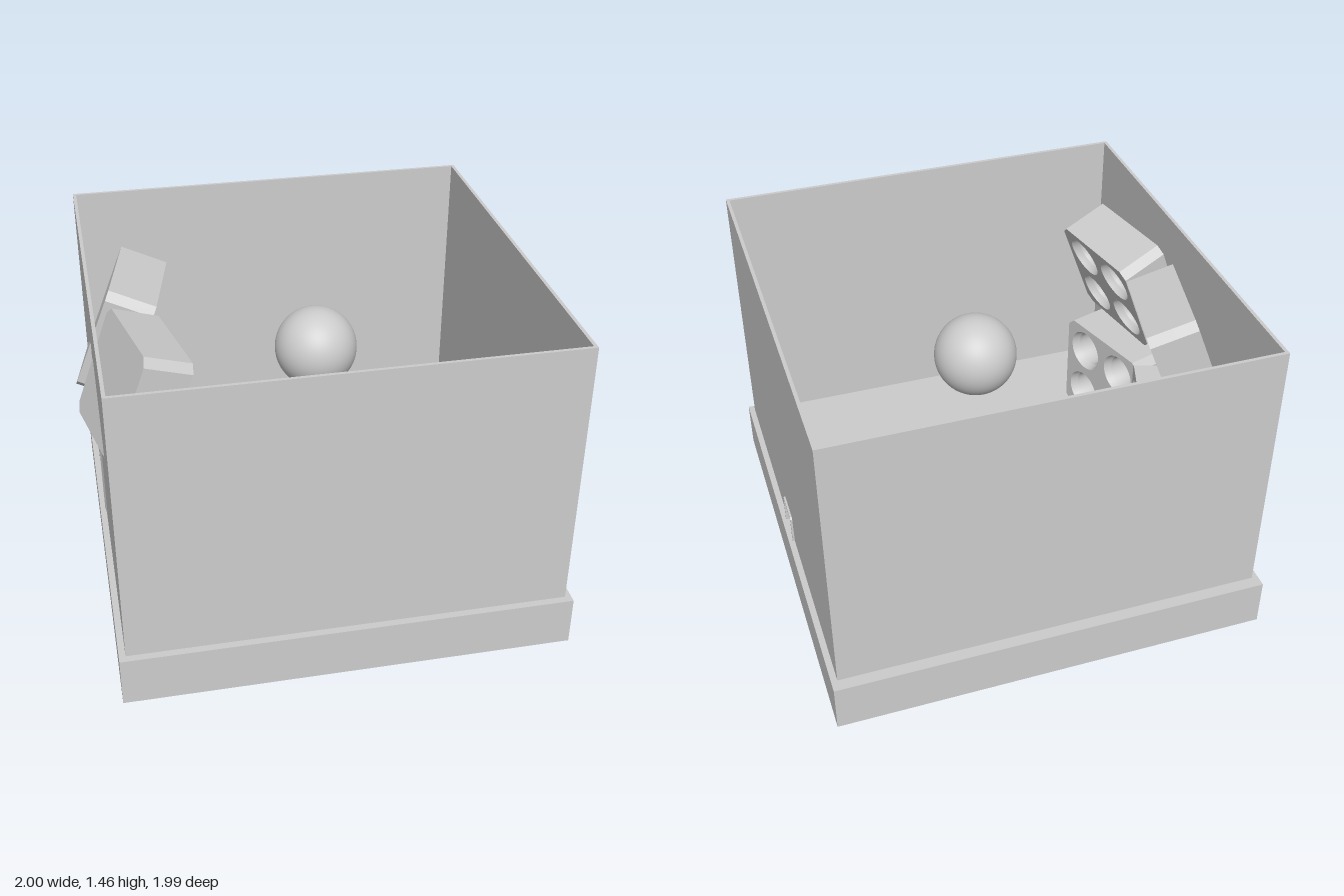
import * as THREE from 'three';

const grey = new THREE.MeshStandardMaterial({ color: 0xcccccc });
grey.name = 'light grey';
const greyOpen = new THREE.MeshStandardMaterial({ color: 0xcccccc, side: THREE.DoubleSide });
greyOpen.name = 'light grey';

const MID_Z = 0.015; // mirror plane of the panel pairs

function add(parent, name, geometry, material = grey) {
  const mesh = new THREE.Mesh(geometry, material);
  mesh.name = name;
  parent.add(mesh);
  return mesh;
}

// Box given by its minimum and maximum corners
function block(parent, name, [x0, y0, z0], [x1, y1, z1]) {
  const mesh = add(parent, name, new THREE.BoxGeometry(x1 - x0, y1 - y0, z1 - z0));
  mesh.position.set((x0 + x1) / 2, (y0 + y1) / 2, (z0 + z1) / 2);
}

// Panel outline: rectangle with cut corners
function panelShape(w, h, c) {
  const a = w / 2, b = h / 2;
  return new THREE.Shape([
    [-a + c, -b], [a - c, -b], [a, -b + c], [a, b - c],
    [a - c, b], [-a + c, b], [-a, b - c], [-a, -b + c],
  ].map(([x, y]) => new THREE.Vector2(x, y)));
}

// Thick panel with a two by two grid of round cups; local z = 0 is its back
function makePanel(name) {
  const panel = new THREE.Group();
  panel.name = name;
  const spots = [];
  for (const x of [-0.123, 0.123]) for (const y of [-0.121, 0.121]) spots.push([x, y]);

  add(panel, 'panelBack', new THREE.ExtrudeGeometry(panelShape(0.51, 0.5, 0.035),
    { depth: 0.1, bevelEnabled: false }));

  const face = panelShape(0.51, 0.5, 0.035);
  for (const [x, y] of spots) {
    face.holes.push(new THREE.Path().absarc(x, y, 0.1, 0, Math.PI * 2, true));
  }
  const front = add(panel, 'panelFront', new THREE.ExtrudeGeometry(face,
    { depth: 0.117, bevelEnabled: false, curveSegments: 24 }));
  front.position.z = 0.1;

  // Tapered cup with a stepped lip inside each hole
  const profile = [[0.001, 0.105], [0.07, 0.105], [0.08, 0.185], [0.088, 0.185], [0.1, 0.217]]
    .map(([r, z]) => new THREE.Vector2(r, z));
  for (const [x, y] of spots) {
    const cup = add(panel, 'cup', new THREE.LatheGeometry(profile, 32), greyOpen);
    cup.rotation.x = Math.PI / 2;
    cup.position.set(x, y, 0);
  }
  return panel;
}

// Mirrored pair of panels, turned inwards and tilted down
function panelPair(parent, name, [x, y, z], yawDeg, tiltDeg) {
  for (const side of [-1, 1]) {
    const panel = makePanel(name + (side < 0 ? 'Back' : 'Front'));
    panel.rotation.order = 'YXZ';
    panel.rotation.y = THREE.MathUtils.degToRad(90 + side * yawDeg);
    panel.rotation.x = THREE.MathUtils.degToRad(tiltDeg);
    panel.position.set(x, y, MID_Z + side * z);
    parent.add(panel);
  }
}

export function createModel() {
  const model = new THREE.Group();
  model.name = 'openChamber';

  // Base slab
  block(model, 'base', [-0.95, 0, -0.995], [1, 0.225, 0.995]);

  // Open-topped walls
  const x0 = -0.922, x1 = 0.973, z0 = -0.942, z1 = 0.962, t = 0.015, y0 = 0.225, y1 = 1.46;
  block(model, 'frontWall', [x0, y0, z1 - t], [x1, y1, z1]);
  block(model, 'backWall', [x0, y0, z0], [x1, y1, z0 + t]);
  block(model, 'rightWall', [x0, y0, z0 + t], [x0 + t, y1, z1 - t]);

  // Wall with a small doorway; its shape runs along -z and is extruded along +x
  const a = -(z1 - t), b = -(z0 + t), d0 = -0.085, d1 = 0.06, top = 0.355;
  const doorWall = new THREE.Shape([
    [a, y0], [d0, y0], [d0, top], [d1, top], [d1, y0], [b, y0], [b, y1], [a, y1],
  ].map(([x, y]) => new THREE.Vector2(x, y)));
  const leftWall = add(model, 'leftWall', new THREE.ExtrudeGeometry(doorWall,
    { depth: t, bevelEnabled: false }));
  leftWall.rotation.y = Math.PI / 2;
  leftWall.position.x = x1 - t;

  // Doorway trim on both faces of the wall
  const rim = 0.011, trim = new THREE.Shape([
    [d0 - rim, y0], [d0, y0], [d0, top], [d1, top], [d1, y0], [d1 + rim, y0],
    [d1 + rim, top], [d1, top + rim], [d0, top + rim], [d0 - rim, top],
  ].map(([x, y]) => new THREE.Vector2(x, y)));
  for (const x of [x1 - t - 0.009, x1]) {
    const frame = add(model, 'doorTrim', new THREE.ExtrudeGeometry(trim,
      { depth: 0.009, bevelEnabled: false }));
    frame.rotation.y = Math.PI / 2;
    frame.position.x = x;
  }

  // Cup panels: tilted upper pair and upright lower pair
  panelPair(model, 'upperPanel', [-0.868, 1.137, 0.318], 12, 21);
  panelPair(model, 'lowerPanel', [-0.853, 0.54, 0.285], 17.5, 0);

  // Floating ball
  const ball = add(model, 'ball', new THREE.SphereGeometry(0.184, 48, 32));
  ball.position.set(0.07, 1.036, 0);

  return model;
}
